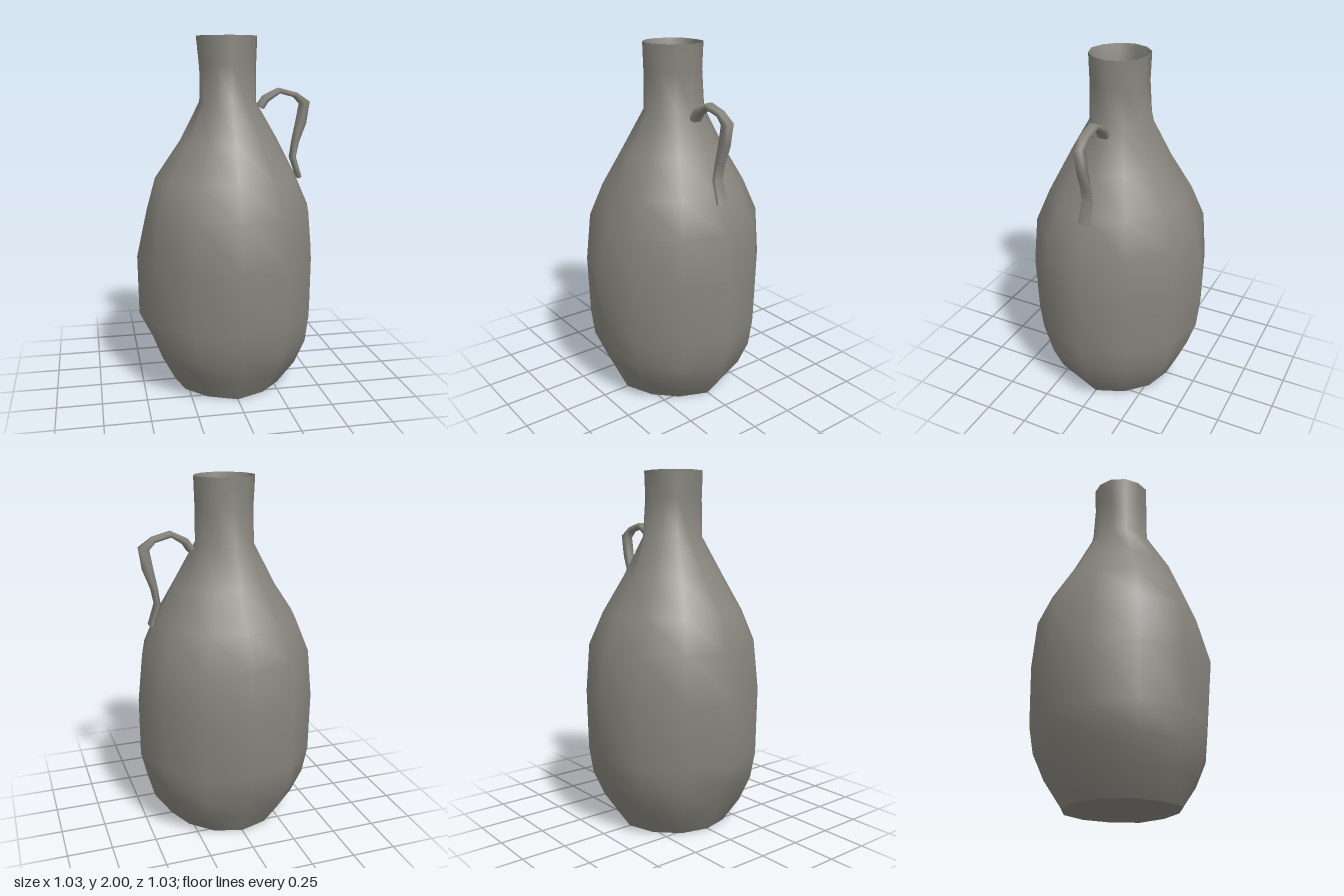
import * as THREE from 'three';

// Smooth closed skin over a list of loops with equal point counts
function skin(loops) {
  const n = loops[0].length, index = [];
  for (let j = 0; j < loops.length - 1; j++) {
    for (let i = 0; i < n; i++) {
      const k = (i + 1) % n;
      const a = j * n + i, b = j * n + k, c = a + n, d = b + n;
      index.push(a, c, d, a, d, b);
    }
  }
  const geometry = new THREE.BufferGeometry().setFromPoints(loops.flat());
  geometry.setIndex(index);
  geometry.computeVertexNormals();
  return geometry;
}

// Horizontal loop whose radius varies between its four directions and the diagonals
function ring([y, left, front, right, back, diagonal], scale = 1, square = false) {
  const sides = 12, loop = [];
  for (let i = 0; i < sides; i++) {
    const a = (i / sides) * Math.PI * 2, c = Math.cos(a), s = Math.sin(a);
    const cardinal = (c > 0 ? left : right) * c * c + (s > 0 ? front : back) * s * s;
    const blend = Math.sin(2 * a) ** 2;
    const r = square
      ? cardinal / (Math.abs(c) + Math.abs(s))
      : cardinal + (diagonal - cardinal) * blend;
    loop.push(new THREE.Vector3(c * r * scale, y, s * r * scale));
  }
  return loop;
}

export function createModel() {
  const group = new THREE.Group();
  const clay = new THREE.MeshStandardMaterial({ color: 0x86847c });
  clay.name = 'grey clay';
  const add = (name, geometry) => {
    const mesh = new THREE.Mesh(geometry, clay);
    mesh.name = name;
    group.add(mesh);
  };

  // Height, then radius towards +x, +z, -x, -z and the diagonals
  const profile = [
    [0, 0.34, 0.34, 0.31, 0.32, 0.31],
    [0.14, 0.44, 0.405, 0.385, 0.385, 0.415],
    [0.28, 0.48, 0.465, 0.44, 0.445, 0.48],
    [0.43, 0.515, 0.485, 0.515, 0.495, 0.495],
    [0.77, 0.515, 0.52, 0.52, 0.515, 0.5],
    [1.04, 0.485, 0.45, 0.46, 0.475, 0.485],
    [1.22, 0.405, 0.38, 0.41, 0.395, 0.405],
    [1.42, 0.3, 0.3, 0.265, 0.275, 0.285],
    [1.64, 0.17, 0.17, 0.14, 0.2, 0.165],
    [1.85, 0.17, 0.17, 0.155, 0.145, 0.16],
    [2, 0.175, 0.17, 0.17, 0.15, 0.165],
  ];
  add('body', skin(profile.map((p) => ring(p))));
  add('base', skin([ring(profile[0], 0), ring(profile[0])]));

  // Hollow inside, narrowing from the thin rim to a square shaft
  const shaft = (y) => [y, 0.165, 0.145, 0.14, 0.145, 0];
  add('innerWall', skin([
    ring(profile[profile.length - 1]), ring(shaft(1.8), 1, true), ring(shaft(0.03), 1, true),
  ]));
  add('innerFloor', skin([ring(shaft(0.03), 1, true), ring(shaft(0.03), 0, true)]));

  // Bent strap handle: x, y, half thickness, half width
  const strap = [
    [0.195, 1.61, 0.02, 0.032],
    [0.225, 1.655, 0.02, 0.034],
    [0.305, 1.7, 0.015, 0.03],
    [0.4, 1.675, 0.015, 0.026],
    [0.455, 1.63, 0.028, 0.026],
    [0.437, 1.52, 0.028, 0.024],
    [0.405, 1.41, 0.018, 0.026],
    [0.39, 1.32, 0.015, 0.032],
    [0.43, 1.2, 0.012, 0.036],
  ];
  const section = (i, scale = 1) => {
    const [x, y, h, w] = strap[i];
    const p = strap[Math.max(i - 1, 0)], q = strap[Math.min(i + 1, strap.length - 1)];
    const t = new THREE.Vector2(q[0] - p[0], q[1] - p[1]).normalize();
    return [[1, -0.75], [1, 0.75], [0, 1], [-1, 0.75], [-1, -0.75], [0, -1]].map(([a, b]) =>
      new THREE.Vector3(x + t.y * a * h * scale, y - t.x * a * h * scale, b * w * scale));
  };
  const last = strap.length - 1;
  add('handle', skin(strap.map((_, i) => section(i))));
  add('handleTopEnd', skin([section(0, 0), section(0)]));
  add('handleBottomEnd', skin([section(last), section(last, 0)]));

  return group;
}
